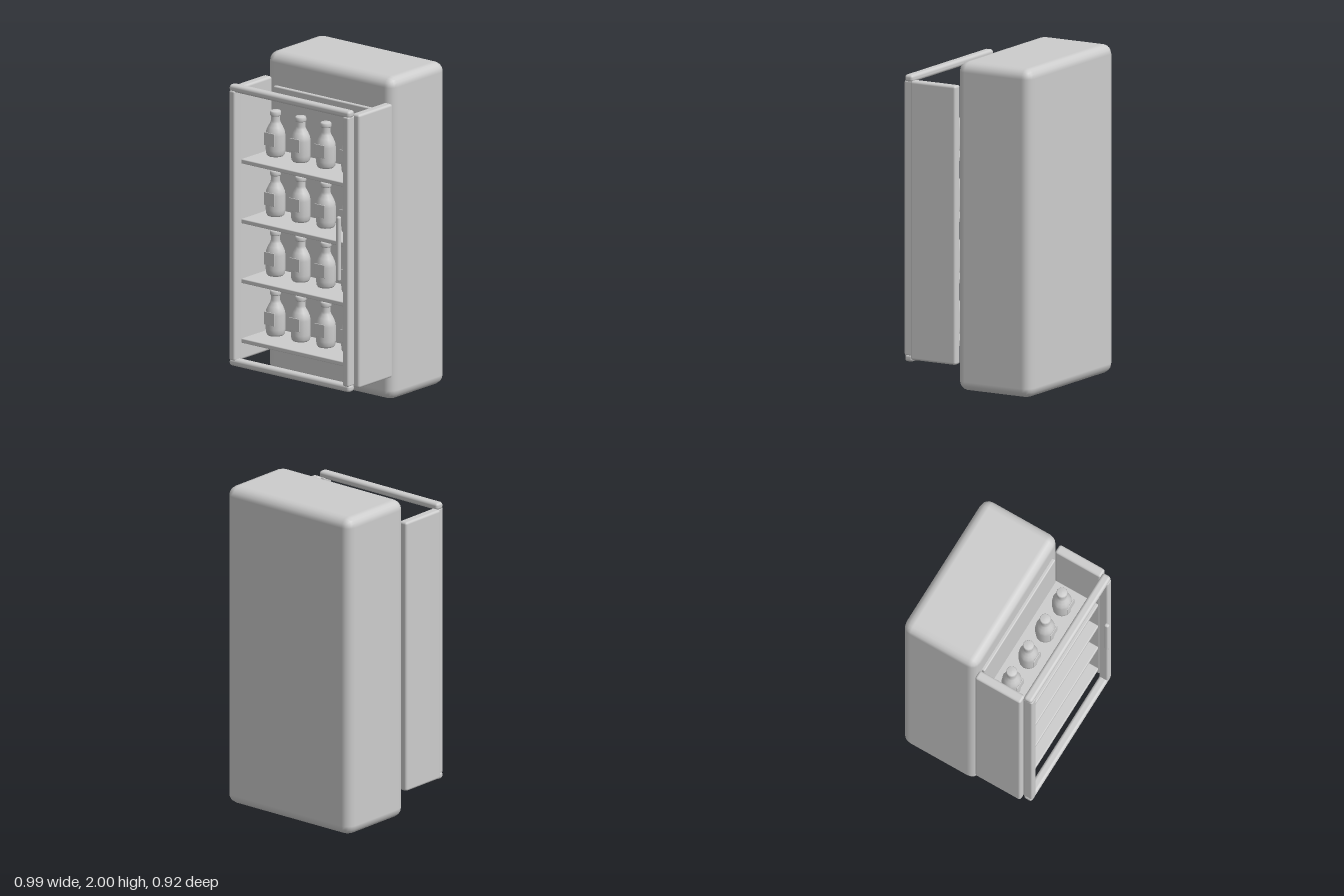
import * as THREE from 'three';
import { RoundedBoxGeometry } from 'three/addons/geometries/RoundedBoxGeometry.js';

export function createModel() {
  const root = new THREE.Group();
  root.name = 'displayFridge';
  const grey = new THREE.MeshStandardMaterial({ color: 0xcccccc });
  grey.name = 'plain grey';

  // Rounded box given by its min and max corners
  function box(name, [x0, y0, z0], [x1, y1, z1], radius, parent = root) {
    const geo = new RoundedBoxGeometry(x1 - x0, y1 - y0, z1 - z0, 2, radius);
    const mesh = new THREE.Mesh(geo, grey);
    mesh.position.set((x0 + x1) / 2, (y0 + y1) / 2, (z0 + z1) / 2);
    mesh.name = name;
    parent.add(mesh);
    return mesh;
  }

  // Cabinet body and the panel behind the shelves
  box('cabinet', [-0.486, 0, -0.46], [0.486, 2, 0.055], 0.06);
  box('backPanel', [-0.413, 0.21, 0.045], [0.413, 1.8, 0.075], 0.008);

  // Side walls and door posts
  for (const [side, s] of [['left', 1], ['right', -1]]) {
    const wall = box(side + 'Wall', [-0.03, 0.155, 0.055], [0.03, 1.852, 0.371], 0.015);
    wall.position.x = s * 0.465;
    const post = box(side + 'DoorPost', [-0.023, 0.17, 0.37], [0.023, 1.845, 0.434], 0.012);
    post.position.x = s * 0.439;
  }

  // Door rails and handle
  box('topDoorRail', [-0.465, 1.835, 0.373], [0.465, 1.88, 0.431], 0.018);
  box('bottomDoorRail', [-0.465, 0.135, 0.373], [0.465, 0.18, 0.431], 0.018);
  box('doorHandle', [0.381, 0.82, 0.426], [0.408, 1.222, 0.456], 0.012);

  // Bottle outline: rounded body, shoulder, neck, cap
  const outline = [
    [0, 0], [0.048, 0], [0.057, 0.012], [0.06, 0.04], [0.06, 0.13], [0.056, 0.155],
    [0.045, 0.18], [0.032, 0.203], [0.028, 0.218], [0.028, 0.25],
  ].map(([x, y]) => new THREE.Vector2(x, y));
  const bottleGeo = new THREE.LatheGeometry(outline, 12);
  const capOutline = [
    [0, 0.248], [0.031, 0.248], [0.034, 0.254], [0.034, 0.271], [0.029, 0.278], [0, 0.28],
  ].map(([x, y]) => new THREE.Vector2(x, y));
  const capGeo = new THREE.LatheGeometry(capOutline, 12);
  const labelGeo = new RoundedBoxGeometry(0.08, 0.08, 0.006, 1, 0.002);

  function addPart(name, geo, parent) {
    const mesh = new THREE.Mesh(geo, grey);
    mesh.name = name;
    parent.add(mesh);
    return mesh;
  }

  // Four shelves with four bottles each
  for (let row = 0; row < 4; row++) {
    const y = 0.297 + row * 0.371;
    box('shelf', [-0.422, y - 0.028, 0.055], [0.422, y, 0.367], 0.006);
    for (let i = 0; i < 4; i++) {
      const bottle = new THREE.Group();
      bottle.name = 'bottle';
      bottle.position.set(-0.297 + i * 0.1945, y + 0.008, 0.194);
      addPart('bottleBody', bottleGeo, bottle);
      addPart('bottleCap', capGeo, bottle);
      addPart('bottleLabel', labelGeo, bottle).position.set(0, 0.11, 0.059);
      root.add(bottle);
    }
  }
  return root;
}
